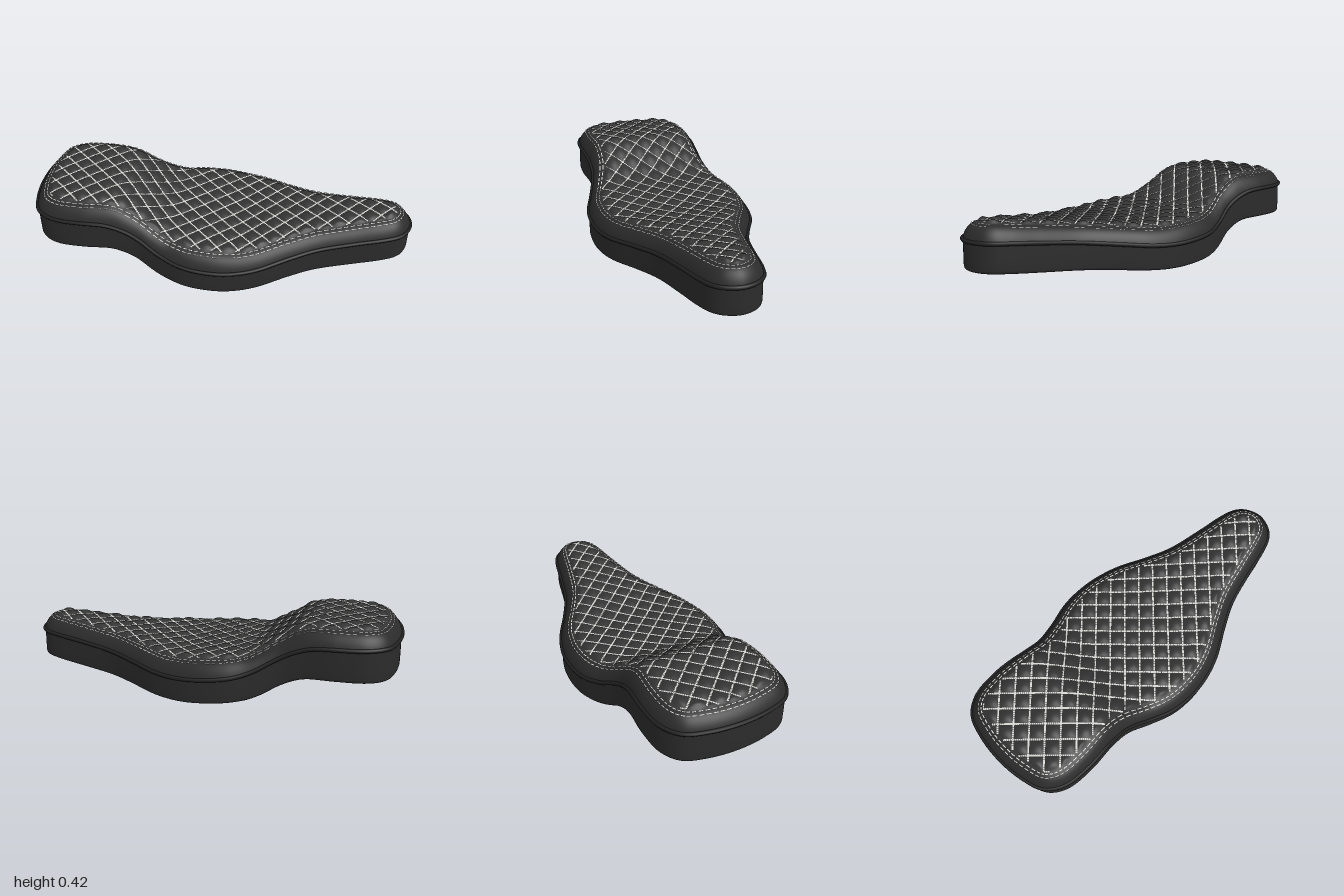
import * as THREE from 'three';
import { mergeVertices } from 'three/addons/utils/BufferGeometryUtils.js';

const N = 420;          // samples round the outline
const PITCH = 0.11;     // spacing of the quilting
const QUILT_EDGE = 0.066;

// Smooth curve y(x) through a few points
function profile(pts) {
  const slope = i => {
    const a = pts[Math.max(i - 1, 0)], b = pts[Math.min(i + 1, pts.length - 1)];
    return (b[1] - a[1]) / (b[0] - a[0]);
  };
  return x => {
    x = THREE.MathUtils.clamp(x, pts[0][0], pts[pts.length - 1][0]);
    let i = 0;
    while (i < pts.length - 2 && x > pts[i + 1][0]) i++;
    const [x0, y0] = pts[i], [x1, y1] = pts[i + 1], w = x1 - x0, t = (x - x0) / w;
    const t2 = t * t, t3 = t2 * t;
    return y0 * (2 * t3 - 3 * t2 + 1) + y1 * (3 * t2 - 2 * t3)
      + slope(i) * w * (t3 - 2 * t2 + t) + slope(i + 1) * w * (t3 - t2);
  };
}

// Side profiles: underside, piping seam and crown
const bottomY = profile([[-1, 0.155], [-0.6, 0.155], [-0.52, 0.143], [-0.43, 0.105], [-0.34, 0.055], [-0.25, 0.026],
  [0, 0.005], [0.15, 0.005], [0.4, 0.024], [0.7, 0.048], [0.9, 0.066], [1, 0.07]]);
const seamY = profile([[-1, 0.323], [-0.8, 0.32], [-0.6, 0.313], [-0.5, 0.285], [-0.4, 0.235], [-0.3, 0.18],
  [-0.2, 0.15], [0, 0.13], [0.15, 0.13], [0.3, 0.145], [0.6, 0.18], [0.85, 0.205], [1, 0.213]]);
const crownY = profile([[-1, 0.4], [-0.85, 0.405], [-0.57, 0.404], [-0.5, 0.385], [-0.4, 0.325], [-0.32, 0.275],
  [-0.24, 0.243], [0, 0.222], [0.12, 0.217], [0.3, 0.232], [0.6, 0.263], [0.88, 0.296], [1, 0.3]]);
// Rise of the cushion by distance from its edge
const rise = profile([[0, 0], [0.01, 0.3], [0.025, 0.57], [0.04, 0.74], [0.055, 0.84], [0.08, 0.93], [0.12, 0.99], [0.17, 1], [0.3, 1]]);

// Plan outline, mirrored across z
const half = [[0.965, 0.08], [0.92, 0.125], [0.84, 0.155], [0.7, 0.185], [0.5, 0.235], [0.37, 0.295], [0.2, 0.385],
  [0.06, 0.425], [-0.06, 0.433], [-0.17, 0.42], [-0.3, 0.375], [-0.42, 0.335], [-0.52, 0.331], [-0.7, 0.343],
  [-0.85, 0.325], [-0.935, 0.265], [-0.975, 0.15]];
const control = [[0.99, 0], ...half, [-0.99, 0], ...half.slice().reverse().map(([x, z]) => [x, -z])];
const outlineCurve = new THREE.CatmullRomCurve3(control.map(([x, z]) => new THREE.Vector3(x, 0, z)), true);
outlineCurve.arcLengthDivisions = 2000;
const edge = outlineCurve.getSpacedPoints(N).slice(0, N);
const inward = edge.map((_, i) => {
  const t = edge[(i + 1) % N].clone().sub(edge[(i + N - 1) % N]).normalize();
  return new THREE.Vector3(-t.z, 0, t.x);
});

// Signed distance inside the outline
function inset(x, z) {
  let best = Infinity, k = 0;
  for (let i = 0; i < N; i++) {
    const d = (edge[i].x - x) ** 2 + (edge[i].z - z) ** 2;
    if (d < best) { best = d; k = i; }
  }
  const side = (x - edge[k].x) * inward[k].x + (z - edge[k].z) * inward[k].z;
  return Math.sign(side) * Math.sqrt(best);
}

// Cushion height with quilted puffs
function cushionY(x, z, d) {
  const y = seamY(x) + (crownY(x) - seamY(x)) * rise(d);
  const fade = THREE.MathUtils.smoothstep(d, QUILT_EDGE, QUILT_EDGE + 0.025);
  const puff = Math.abs(Math.sin((x + z) * Math.PI / PITCH) * Math.sin((x - z) * Math.PI / PITCH));
  return y + 0.015 * fade * Math.pow(puff, 0.75);
}

const offsetRing = (d, yOf) => edge.map((p, i) => {
  const q = p.clone().addScaledVector(inward[i], d);
  q.y = yOf(q.x, q.z, d);
  return q;
});

// Ring narrowing from an offset of the outline to the spine
const spineRing = (d, t, yOf) => edge.map((p, i) => {
  const q = p.clone().addScaledVector(inward[i], d);
  q.lerp(new THREE.Vector3(THREE.MathUtils.clamp(q.x, -0.72, 0.86), 0, 0), t);
  q.y = yOf(q.x, q.z);
  return q;
});

function loft(rings) {
  const pos = [], idx = [];
  rings.forEach(r => r.forEach(p => pos.push(p.x, p.y, p.z)));
  for (let k = 0; k < rings.length - 1; k++) for (let i = 0; i < N; i++) {
    const a = k * N + i, b = k * N + (i + 1) % N;
    idx.push(a, a + N, b, a + N, b + N, b);
  }
  const g = new THREE.BufferGeometry();
  g.setAttribute('position', new THREE.Float32BufferAttribute(pos, 3));
  g.setIndex(idx);
  const merged = mergeVertices(g, 1e-4);
  merged.computeVertexNormals();
  return merged;
}

// Thin flat dashes, each a list of centre points
function dashes(list, width) {
  const pos = [], idx = [];
  for (const line of list) {
    const dir = line[line.length - 1].clone().sub(line[0]).setY(0).normalize();
    const s = new THREE.Vector3(dir.z, 0, -dir.x).multiplyScalar(width / 2);
    line.forEach((p, j) => {
      const n = pos.length / 3;
      pos.push(p.x + s.x, p.y, p.z + s.z, p.x - s.x, p.y, p.z - s.z);
      if (j < line.length - 1) idx.push(n, n + 1, n + 2, n + 1, n + 3, n + 2);
    });
  }
  const g = new THREE.BufferGeometry();
  g.setAttribute('position', new THREE.Float32BufferAttribute(pos, 3));
  g.setIndex(idx);
  g.computeVertexNormals();
  return g;
}

export function createModel() {
  const group = new THREE.Group();
  const material = (name, color, side = THREE.FrontSide) => {
    const m = new THREE.MeshStandardMaterial({ color, side });
    m.name = name;
    return m;
  };
  const leather = material('black leather', 0x2b2b2b);
  const quilted = material('quilted leather', 0x333333);
  const cord = material('piping black', 0x222222);
  const thread = material('pale thread', 0xd6d6d2, THREE.DoubleSide);
  const add = (name, geometry, mat) => {
    const mesh = new THREE.Mesh(geometry, mat);
    mesh.name = name;
    group.add(mesh);
  };

  // Underside and skirt
  add('underside', loft([1, 0.66, 0.33, 0].map(t => spineRing(0.012, t, x => bottomY(x)))), leather);
  const wall = [[0.012, 0], [0.005, 0.03], [0.002, 0.1], [0.002, 0.4], [0.003, 0.75], [0.004, 1]];
  add('skirt', loft(wall.map(([d, f]) => offsetRing(d, x => THREE.MathUtils.lerp(bottomY(x), seamY(x), f)))), leather);

  // Piping along the seam
  const seam = new THREE.CatmullRomCurve3(offsetRing(0.001, x => seamY(x)).filter((_, i) => i % 3 === 0), true);
  add('piping', new THREE.TubeGeometry(seam, 280, 0.0105, 8, true), cord);

  // Plain border and quilted centre
  add('cushionBorder', loft([0, 0.005, 0.01, 0.017, 0.025, 0.034, 0.044, 0.055, QUILT_EDGE]
    .map(d => offsetRing(d, cushionY))), leather);
  const centre = [];
  for (let k = 0; k <= 44; k++) {
    centre.push(spineRing(QUILT_EDGE, k / 44, (x, z) => cushionY(x, z, k ? inset(x, z) : QUILT_EDGE)));
  }
  add('quiltedCushion', loft(centre), quilted);

  // Diamond stitching in both diagonal directions
  const quiltDashes = [];
  const step = PITCH / 8;
  for (const sign of [1, -1]) for (let n = -13; n <= 13; n++) for (let m = -104; m <= 104; m++) {
    const line = [0.08, 0.5, 0.92].map(f => {
      const v = (m + f) * step, u = n * PITCH;
      const x = (u + v) / 2, z = sign * (u - v) / 2;
      return new THREE.Vector3(x, 0, z);
    });
    const depths = line.map(p => Math.abs(p.z) < 0.45 && Math.abs(p.x) < 1 ? inset(p.x, p.z) : -1);
    if (Math.min(...depths) < QUILT_EDGE + 0.004) continue;
    line.forEach((p, i) => { p.y = cushionY(p.x, p.z, depths[i]) + 0.005; });
    quiltDashes.push(line);
  }
  add('diamondStitching', dashes(quiltDashes, 0.0085), thread);

  // Twin rows of border stitching
  const borderDashes = [];
  for (const d of [0.043, 0.06]) {
    const ring = offsetRing(d, (x, z) => cushionY(x, z, d) + 0.003);
    for (let i = 0; i < N; i += 3) borderDashes.push([ring[i], ring[i + 1], ring[(i + 2) % N]]);
  }
  add('borderStitching', dashes(borderDashes, 0.005), thread);
  return group;
}
